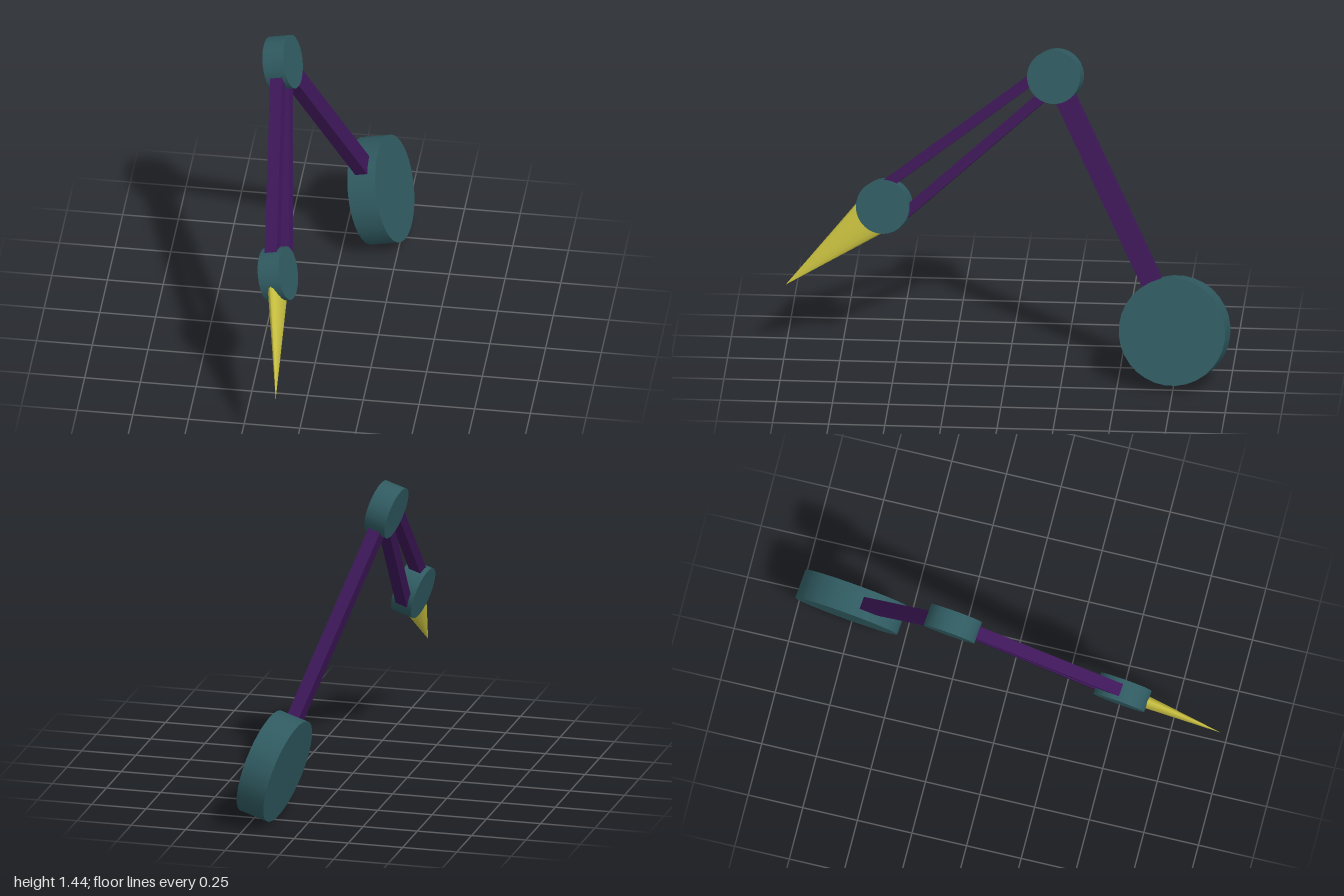
import * as THREE from 'three';

const teal = new THREE.MeshStandardMaterial({ color: 0x2f5a60 });
const purple = new THREE.MeshStandardMaterial({ color: 0x3d1758 });
const yellow = new THREE.MeshStandardMaterial({ color: 0xc8c040 });

// Joint centres; the whole arm lies in one tilted plane
const base = new THREE.Vector3(0.158, 0.255, -0.752);
const elbow = new THREE.Vector3(-0.207, 1.313, -0.197);
const wrist = new THREE.Vector3(-0.125, 0.703, 0.56);
const tip = new THREE.Vector3(-0.075, 0.333, 0.997);

const upperDir = elbow.clone().sub(base);
const foreDir = wrist.clone().sub(elbow);
const axis = upperDir.clone().cross(foreDir).normalize(); // shared hinge axis
const foreUp = foreDir.clone().cross(axis).normalize(); // in-plane, above the forearm

export function createModel() {
  const model = new THREE.Group();
  model.name = 'jointedArm';

  // Adds a part whose local y runs from a to b and whose local x is the hinge axis
  function span(name, geometry, material, a, b) {
    const y = b.clone().sub(a).normalize();
    const z = axis.clone().cross(y).normalize();
    const x = y.clone().cross(z);
    const mesh = new THREE.Mesh(geometry, material);
    mesh.name = name;
    mesh.quaternion.setFromRotationMatrix(new THREE.Matrix4().makeBasis(x, y, z));
    mesh.position.copy(a).lerp(b, 0.5);
    model.add(mesh);
  }

  function beam(name, a, b, width, depth) {
    span(name, new THREE.BoxGeometry(depth, a.distanceTo(b), width), purple, a, b);
  }

  // Hinge discs
  function disc(name, centre, radius, thickness) {
    const mesh = new THREE.Mesh(new THREE.CylinderGeometry(radius, radius, thickness, 32), teal);
    mesh.name = name;
    mesh.quaternion.setFromUnitVectors(new THREE.Vector3(0, 1, 0), axis);
    mesh.position.copy(centre);
    model.add(mesh);
  }
  disc('baseDisc', base, 0.241, 0.133);
  disc('elbowDisc', elbow, 0.12, 0.1);
  disc('wristDisc', wrist, 0.12, 0.1);

  // Upper arm
  beam('upperArm', base, elbow, 0.09, 0.057);

  // Forearm: two rods spreading towards the wrist
  const offset = (p, d) => p.clone().addScaledVector(foreUp, d);
  beam('forearmUpperRod', offset(elbow, 0.05), offset(wrist, 0.072), 0.047, 0.057);
  beam('forearmLowerRod', offset(elbow, -0.032), offset(wrist, -0.086), 0.047, 0.057);

  // Flattened pointed claw
  const claw = new THREE.ConeGeometry(0.104, wrist.distanceTo(tip), 16);
  claw.scale(0.35, 1, 1);
  span('claw', claw, yellow, wrist, tip);

  return model;
}
